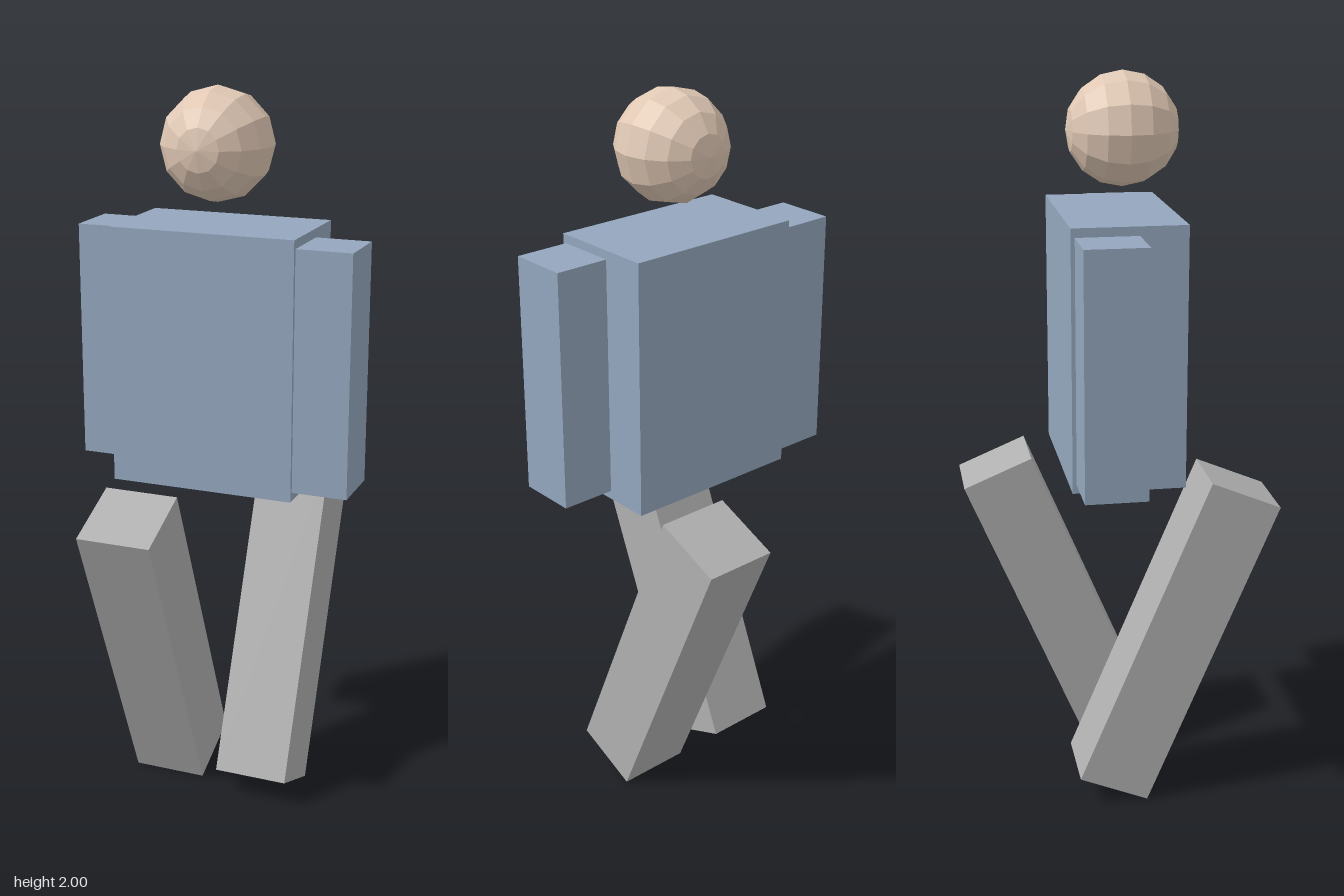
import * as THREE from 'three';

const flat = (name, color) => {
  const m = new THREE.MeshStandardMaterial({ color, flatShading: true });
  m.name = name;
  return m;
};

export function createModel() {
  const model = new THREE.Group();
  model.name = 'walkingFigure';

  const shirt = flat('shirtBlue', 0x94a7be);
  const trousers = flat('trouserGrey', 0xb0b0b0);
  const skin = flat('skin', 0xe0c8b4);

  const add = (name, geometry, material, x, y, z, tilt = 0) => {
    const mesh = new THREE.Mesh(geometry, material);
    mesh.name = name;
    mesh.position.set(x, y, z);
    mesh.rotation.x = tilt;
    model.add(mesh);
    return mesh;
  };

  // Floating low-poly head, its poles facing front and back
  add('head', new THREE.SphereGeometry(0.15, 12, 8), skin, 0, 1.85, 0.022, Math.PI / 2);

  // Torso
  add('torso', new THREE.BoxGeometry(0.512, 0.7, 0.302), shirt, 0, 1.29, 0);

  // Arms and striding legs, staggered in opposite directions
  const armShape = new THREE.BoxGeometry(0.152, 0.652, 0.165);
  const legShape = new THREE.BoxGeometry(0.208, 0.932, 0.205);
  for (const [side, s] of [['left', 1], ['right', -1]]) {
    add(side + 'Arm', armShape, shirt, s * 0.331, 1.29, s * 0.058);
    add(side + 'Leg', legShape, trousers, s * 0.141, 0.472, s * -0.141, s * -0.397);
  }

  return model;
}
